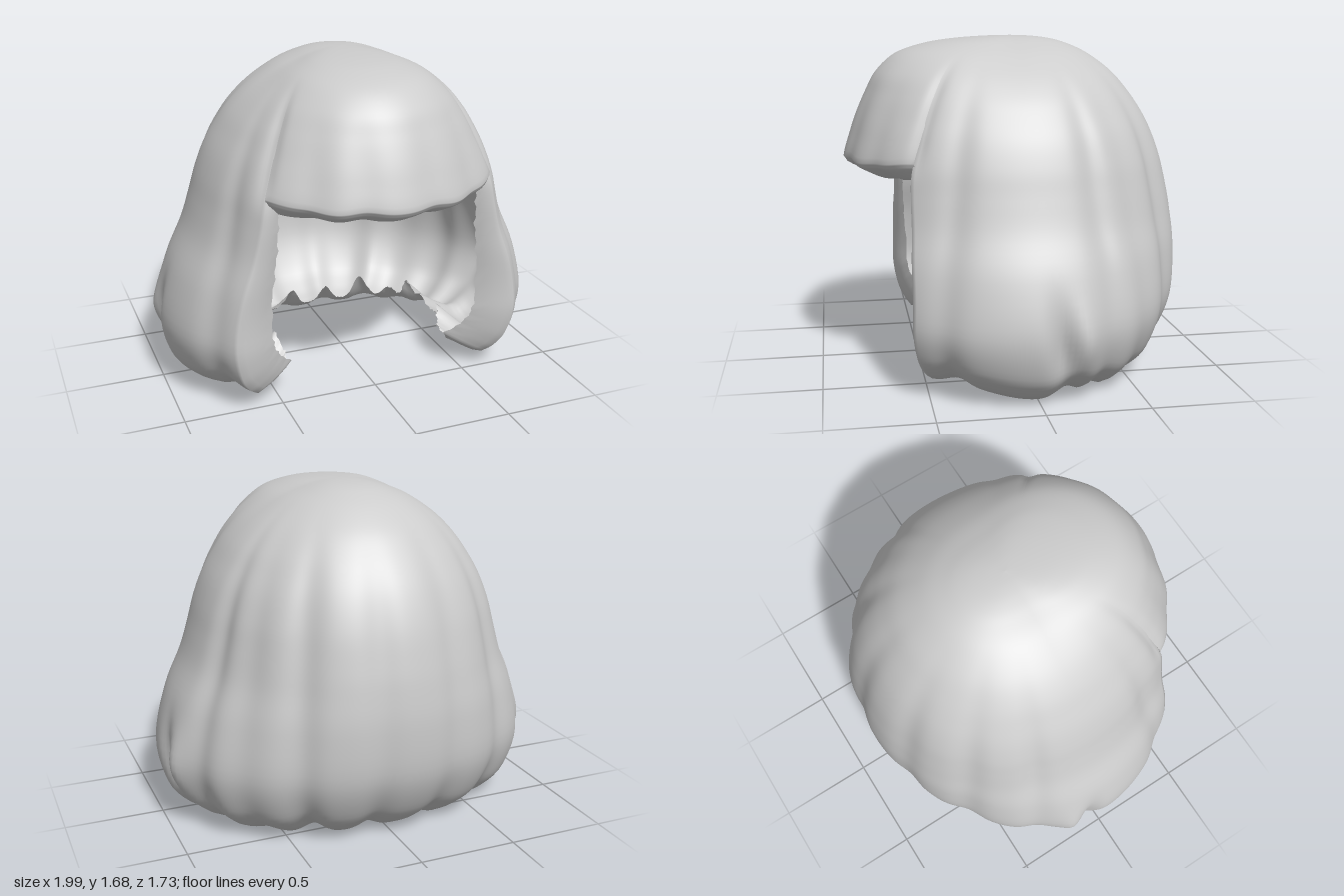
import * as THREE from 'three';

const RAD = Math.PI / 180;
const smooth = THREE.MathUtils.smoothstep;
const lerp = THREE.MathUtils.lerp;

// Profile of the hair: height, then radius at the side, back and front
const LEVELS = [
  [1.68, 0, 0, 0], [1.676, 0.07, 0.1, 0.14], [1.664, 0.14, 0.2, 0.3], [1.64, 0.22, 0.29, 0.45],
  [1.59, 0.34, 0.4, 0.595], [1.5, 0.475, 0.525, 0.695], [1.4, 0.58, 0.615, 0.75], [1.3, 0.652, 0.685, 0.795],
  [1.2, 0.71, 0.737, 0.832], [1.08, 0.758, 0.782, 0.868], [0.95, 0.797, 0.815, 0.875], [0.8, 0.848, 0.843, 0.878],
  [0.6, 0.94, 0.86, 0.885], [0.35, 1.0, 0.84, 0.86], [0.15, 0.96, 0.75, 0.835], [0.05, 0.88, 0.65, 0.815],
  [0.0, 0.8, 0.57, 0.78],
];
const FRINGE_LEVEL = 9;
const LAST = LEVELS.length - 1;
const curveOf = (fn) => new THREE.CatmullRomCurve3(LEVELS.map(fn), false, 'catmullrom', 0.5);
const radii = curveOf(([, s, b, f]) => new THREE.Vector3(s, b, f));
const heights = curveOf(([y]) => new THREE.Vector3(y, 0, 0));

// Valleys between the locks: angle from the front, depth, width (degrees)
const GROOVES = [
  [10, 0.016, 6], [-13, 0.018, 6], [28, 0.014, 6], [-30, 0.014, 6], [62, 0.018, 5], [-61, 0.018, 5],
  [111, 0.026, 5], [-112, 0.022, 5], [126, 0.014, 6], [-136, 0.024, 6],
  [145, 0.03, 6], [-161, 0.022, 6], [171, 0.02, 6],
];
const gauss = (d, w) => Math.exp(-((d / w) ** 2));
const angleGap = (a, b) => ((a - b + 540) % 360) - 180;
const grooveDepth = (deg) =>
  GROOVES.reduce((sum, [at, depth, w]) => sum + depth * gauss(angleGap(deg, at), w), 0);

function radiusAt(deg, t) {
  const p = radii.getPoint(t), y = heights.getPoint(t).x;
  const c = Math.cos(deg * RAD), s2 = Math.sin(deg * RAD) ** 2;
  let r = p.x * s2 + (c > 0 ? p.z : p.y) * c * c;
  r -= grooveDepth(deg) * (1 - smooth(y, 1.0, 1.64));
  // parting valley beside the fringe
  const a = Math.abs(angleGap(deg, 0));
  r -= 0.018 * gauss(a - 47, 3) * smooth(y, 1.0, 1.2) * (1 - smooth(y, 1.4, 1.62));
  // slightly flatter rear corners
  r -= 0.022 * gauss(a - 132, 22) * (1 - smooth(y, 0.5, 1.1));
  // curled lock low on each side
  const lift = gauss(y - 0.28, 0.18);
  r += lift * (0.025 * gauss(a - 101, 3.5) - 0.05 * gauss(a - 95 + (y - 0.28) * 8, 3.5));
  return r;
}

// Indexed skin over a grid of points
function skin(rows, cols, pointAt) {
  const pos = [], index = [];
  for (let i = 0; i <= rows; i++) {
    for (let j = 0; j <= cols; j++) {
      pos.push(...pointAt(i, j));
      if (i < rows && j < cols) {
        const a = i * (cols + 1) + j, b = a + cols + 1;
        index.push(a, b, a + 1, b, b + 1, a + 1);
      }
    }
  }
  const geo = new THREE.BufferGeometry();
  geo.setAttribute('position', new THREE.Float32BufferAttribute(pos, 3));
  geo.setIndex(index);
  geo.computeVertexNormals();
  return geo;
}

// Hem turned under: offsets inward and up after the last outer row
const tuck = (path, k) => {
  const f = Math.min(k * (path.length - 1), path.length - 1 - 1e-6), i = Math.floor(f);
  return [lerp(path[i][0], path[i + 1][0], f - i), lerp(path[i][1], path[i + 1][1], f - i)];
};
const BODY_TUCK = [[0, 0], [0.05, 0], [0.14, 0.05], [0.25, 0.12]];
const FRINGE_TUCK = [[0, 0], [0.02, -0.03], [0.13, -0.085], [0.24, -0.095]];
const ragged = (n) => 0.008 * Math.sin(n * 2.3) * Math.sin(n * 0.77 + 1);

// Sides and back, with the front edges folded inward
function bodyGeometry() {
  const outer = 80, under = 9, fold = 5, main = 200, cols = main + fold * 2;
  return skin(outer + under, cols, (i, j) => {
    const t = Math.min(i / outer, 1), k = Math.max(0, (i - outer) / under);
    let y = heights.getPoint(t).x;
    const start = 46 + 6 * (1 - smooth(y, 0.4, 1.1));
    const u = THREE.MathUtils.clamp((j - fold) / main, 0, 1);
    const deg = lerp(start, 360 - start, u);
    const rad = deg * RAD, side = Math.abs(angleGap(deg, 0));
    let r = radiusAt(deg, t);
    const low = 1 - smooth(y, 0, 0.45);
    const edge = Math.max(fold - j, j - fold - main, 0) / fold;
    // scalloped hem, shallower tuck toward the back
    const hem = 0.07 * (1 - smooth(side, 58, 90)) + 0.05 * gauss(side - 100, 5) + grooveDepth(deg) * 1.2;
    const [dr, dy] = tuck(BODY_TUCK, k);
    const reach = 1 - 0.45 * smooth(side, 95, 140);
    r -= dr * reach + (k === 1 ? ragged(j) : 0);
    y += hem * low + dy * reach + grooveDepth(deg) * 3.5 * k;
    // folded front edge, wider and rising toward the bottom
    const width = lerp(0.2, 0.07, smooth(y, 0.3, 1.15)) * (1 - k) * (1 - smooth(y, 1.1, 1.4));
    const e = edge * width + (edge === 1 && k < 1 && y < 1.1 ? ragged(i) : 0);
    y += 0.11 * edge * low * (1 - k);
    const sign = u < 0.5 ? 1 : -1;
    return [Math.sin(rad) * r - sign * e, y, Math.cos(rad) * r - e * 0.35 * edge];
  });
}

// Fringe over the forehead, cut straight and turned under
function fringeGeometry() {
  const outer = 45, under = 10, cols = 80;
  return skin(outer + under, cols, (i, j) => {
    const t = Math.min(i / outer, 1) * FRINGE_LEVEL / LAST, k = Math.max(0, (i - outer) / under);
    const deg = lerp(-46.5, 46.5, j / cols), rad = deg * RAD;
    const corner = smooth(Math.abs(deg), 25, 46);
    const [dr, dy] = tuck(FRINGE_TUCK, k);
    const r = radiusAt(deg, t) - dr * (1 - 0.5 * corner) - (k === 1 ? ragged(j) : 0);
    const base = heights.getPoint(t).x;
    const hem = (grooveDepth(deg) * 0.8 + 0.035 * corner - 0.01) * (1 - smooth(base, 1.08, 1.3));
    return [Math.sin(rad) * r, base + hem + dy + (k === 1 ? ragged(j + 5) : 0), Math.cos(rad) * r];
  });
}

export function createModel() {
  const group = new THREE.Group();
  group.name = 'bobHair';
  const hair = new THREE.MeshStandardMaterial({ color: 0xcccccc, side: THREE.DoubleSide });
  hair.name = 'hairGrey';
  const parts = { sideAndBackHair: bodyGeometry(), fringe: fringeGeometry() };
  for (const [name, geometry] of Object.entries(parts)) {
    const mesh = new THREE.Mesh(geometry, hair);
    mesh.name = name;
    group.add(mesh);
  }
  // rest on the ground and centre
  const box = new THREE.Box3().setFromObject(group), c = box.getCenter(new THREE.Vector3());
  for (const mesh of group.children) mesh.geometry.translate(-c.x, -box.min.y, -c.z);
  return group;
}
